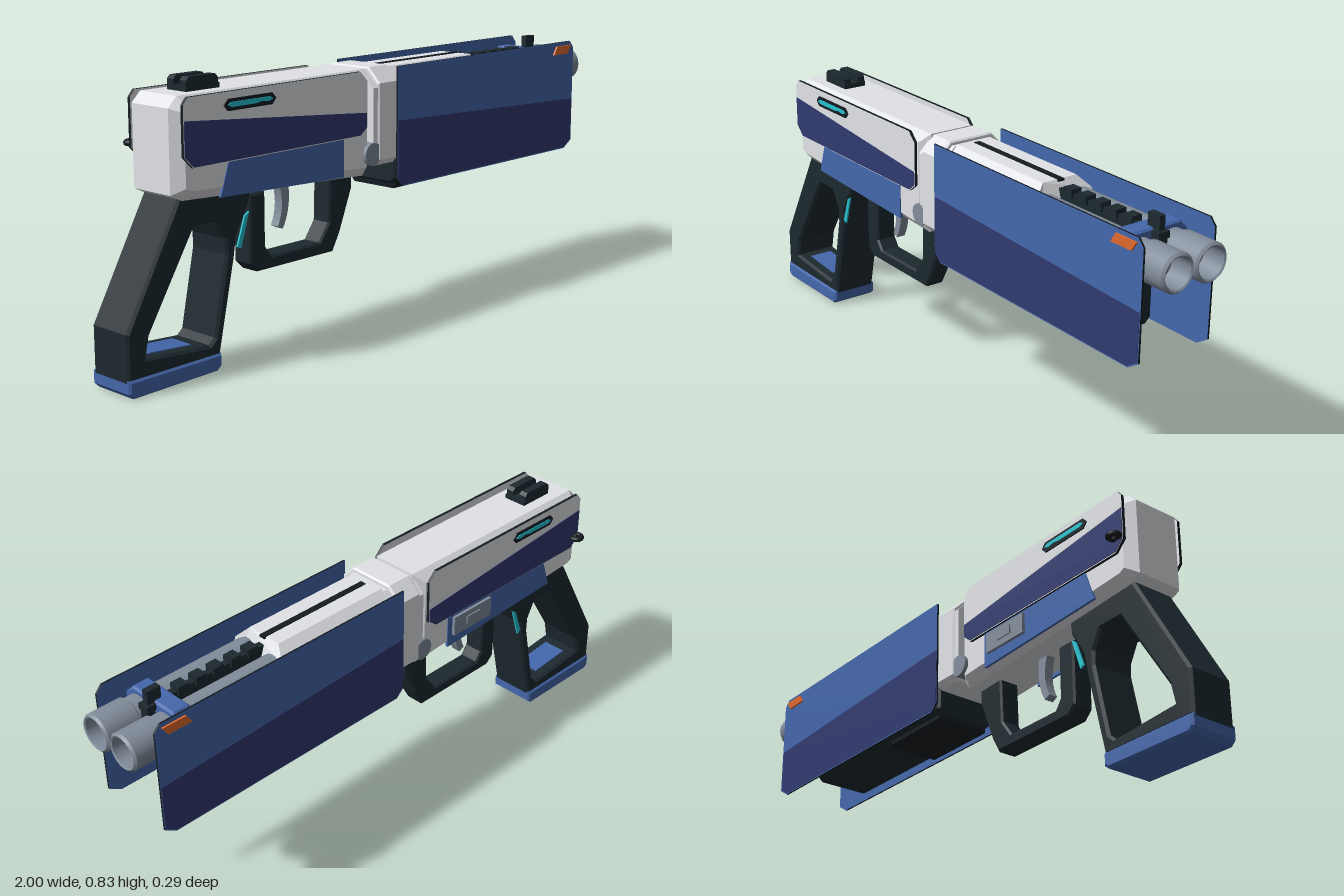
import * as THREE from 'three';

const mat = (name, color, opts = {}) => {
  const m = new THREE.MeshStandardMaterial({ color, ...opts });
  m.name = name;
  return m;
};

export function createModel() {
  const white = mat('off white', 0xe2e4e8);
  const blue = mat('blue', 0x4467ab);
  const navy = mat('navy', 0x313a70);
  const dark = mat('charcoal', 0x1d292f);
  const rim = mat('black rim', 0x141b22);
  const grey = mat('steel grey', 0x828d9b);
  const orange = mat('orange', 0xe0692e);
  const cyan = mat('cyan', 0x24c4d2);

  const model = new THREE.Group();
  const gun = new THREE.Group();
  gun.name = 'blaster';
  gun.position.z = 0.01;
  model.add(gun);

  const add = (name, geo, material, x = 0, y = 0, z = 0) => {
    const m = new THREE.Mesh(geo, material);
    m.name = name;
    m.position.set(x, y, z);
    gun.add(m);
    return m;
  };
  const box = (name, material, x0, x1, y0, y1, z0, z1) =>
    add(name, new THREE.BoxGeometry(x1 - x0, y1 - y0, z1 - z0), material,
      (x0 + x1) / 2, (y0 + y1) / 2, (z0 + z1) / 2);
  const outline = (pts) => new THREE.Shape(pts.map(([x, y]) => new THREE.Vector2(x, y)));
  // Solid of total thickness `depth`, centred on z = 0, chamfered inside its outline
  const solid = (pts, depth, bevel = 0, hole = null) => {
    const shape = outline(pts);
    if (hole) shape.holes.push(outline(hole));
    const geo = new THREE.ExtrudeGeometry(shape, {
      depth: depth - 2 * bevel, bevelEnabled: bevel > 0, bevelThickness: bevel,
      bevelSize: bevel, bevelOffset: -bevel, bevelSegments: 1,
    });
    return geo.translate(0, 0, bevel - depth / 2);
  };
  const slab = (name, material, pts, depth, z = 0, bevel = 0, hole = null) =>
    add(name, solid(pts, depth, bevel, hole), material, 0, 0, z);
  // Eight-sided cross-section running along x
  const beam = (name, material, x0, x1, y0, y1, half, top, bottom, bevel = 0) => {
    const pts = [[-half + bottom, y0], [half - bottom, y0], [half, y0 + bottom], [half, y1 - top],
      [half - top, y1], [-half + top, y1], [-half, y1 - top], [-half, y0 + bottom]];
    return add(name, solid(pts, x1 - x0, bevel).rotateY(Math.PI / 2), material, (x0 + x1) / 2);
  };

  // Receiver and collar
  slab('receiver', white, [[-0.84, 0.53], [-0.8, 0.51], [-0.085, 0.47], [-0.065, 0.5],
    [-0.07, 0.795], [-0.81, 0.795], [-0.84, 0.765]], 0.21, 0, 0.03);
  beam('collar', white, -0.06, 0.03, 0.5, 0.798, 0.12, 0.045, 0.02, 0.005);
  beam('collarStep', white, -0.078, 0.045, 0.51, 0.785, 0.115, 0.045, 0.02);
  add('hingePin', new THREE.CylinderGeometry(0.035, 0.035, 0.235, 20).rotateX(Math.PI / 2), grey, -0.08, 0.54, 0);

  // Upper shroud with a sloping nose
  const shroud = solid([[-0.06, 0.79], [-0.1, 0.75], [-0.1, 0.62], [0.1, 0.62], [0.1, 0.75], [0.06, 0.79]], 0.46)
    .rotateY(Math.PI / 2);
  const p = shroud.attributes.position;
  for (let i = 0; i < p.count; i++) if (p.getX(i) > 0 && p.getY(i) > 0.7) p.setX(i, 0.23 - (p.getY(i) - 0.7) * 0.6);
  shroud.computeVertexNormals();
  add('shroud', shroud, white, 0.275);
  box('shroudSlot', rim, 0.06, 0.46, 0.785, 0.792, -0.01, 0.01);

  // Fore-end and its lower rib
  beam('foreEnd', dark, 0.035, 0.74, 0.427, 0.655, 0.104, 0.012, 0.018, 0.008);
  beam('foreEndRib', rim, 0.05, 0.31, 0.41, 0.435, 0.09, 0.004, 0.008);

  // Twin barrels with hollow muzzles
  for (const s of [1, -1]) {
    add('barrel', new THREE.CylinderGeometry(0.05, 0.05, 0.5, 28).rotateZ(-Math.PI / 2), grey, 0.66, 0.709, s * 0.058);
    const profile = [[0, 0.04], [0.045, 0.04], [0.045, 0.04], [0.045, 0.112], [0.045, 0.112], [0.05, 0.115],
      [0.05, 0.115], [0.057, 0.108], [0.057, 0.108], [0.057, 0.005], [0.057, 0.005], [0.05, 0], [0.05, 0], [0, 0]]
      .reverse().map(([r, y]) => new THREE.Vector2(r, y));
    add('muzzle', new THREE.LatheGeometry(profile, 32).rotateZ(-Math.PI / 2), grey, 0.885, 0.709, s * 0.058);
  }
  beam('barrelClamp', blue, 0.79, 0.85, 0.638, 0.775, 0.12, 0.035, 0.02, 0.006);

  // Sight rail and sights
  box('rail', dark, 0.46, 0.88, 0.69, 0.768, -0.011, 0.011);
  for (let i = 0; i < 5; i++) box('railTooth', dark, 0.49 + i * 0.062, 0.525 + i * 0.062, 0.755, 0.782, -0.018, 0.018);
  box('frontSightBase', dark, 0.81, 0.88, 0.75, 0.77, -0.019, 0.019);
  box('frontSight', dark, 0.825, 0.87, 0.765, 0.813, -0.01, 0.01);
  box('rearSightBase', dark, -0.745, -0.625, 0.785, 0.81, -0.039, 0.039);
  for (const s of [1, -1]) slab('rearSightPost', dark,
    [[-0.745, 0.8], [-0.63, 0.8], [-0.63, 0.825], [-0.64, 0.835], [-0.735, 0.835], [-0.745, 0.825]], 0.026, s * 0.026);

  // Matching side panels
  const rearPanel = [[-0.822, 0.635], [-0.79, 0.602], [-0.135, 0.602], [-0.105, 0.625], [-0.105, 0.765], [-0.135, 0.795],
    [-0.805, 0.795], [-0.822, 0.775]];
  const frontPanel = [[0.018, 0.45], [0.045, 0.425], [0.9, 0.425], [0.94, 0.45], [0.94, 0.775], [0.92, 0.798], [0.018, 0.798]];
  for (const s of [1, -1]) {
    slab('rearPanel', [white, rim], rearPanel, 0.01, s * 0.109);
    slab('rearPanelLower', navy, [[-0.82, 0.636], [-0.789, 0.605], [-0.136, 0.605], [-0.108, 0.627], [-0.108, 0.67], [-0.82, 0.733]],
      0.003, s * 0.1145);
    slab('lightFrame', rim, [[-0.68, 0.759], [-0.665, 0.742], [-0.5, 0.742], [-0.485, 0.759], [-0.5, 0.775], [-0.665, 0.775]],
      0.005, s * 0.1155);
    slab('lightStrip', cyan, [[-0.668, 0.759], [-0.655, 0.752], [-0.56, 0.752], [-0.54, 0.756], [-0.515, 0.752], [-0.498, 0.759],
      [-0.51, 0.766], [-0.655, 0.766]], 0.004, s * 0.118);
    slab('lowerBodyPatch', blue, [[-0.69, 0.506], [-0.2, 0.487], [-0.2, 0.61], [-0.655, 0.61]], 0.008, s * 0.104);
    slab('frontPanel', [blue, rim], frontPanel, 0.006, s * 0.124);
    slab('frontPanelLower', navy, [[0.02, 0.452], [0.046, 0.429], [0.899, 0.429], [0.937, 0.453], [0.937, 0.596], [0.02, 0.632]],
      0.003, s * 0.1268);
    slab('marker', orange, [[0.82, 0.757], [0.9, 0.757], [0.918, 0.785], [0.838, 0.785]], 0.008, s * 0.129);
    slab('gripLight', cyan, [[-0.556, 0.44], [-0.572, 0.43], [-0.602, 0.345], [-0.588, 0.338]], 0.006, s * 0.073);
  }

  // Back-side latch and charging ring
  box('latch', grey, -0.39, -0.22, 0.525, 0.59, -0.118, -0.1);
  box('latchInset', grey, -0.335, -0.275, 0.545, 0.572, -0.122, -0.116);
  add('chargingStem', new THREE.CylinderGeometry(0.008, 0.008, 0.02, 12).rotateX(Math.PI / 2), rim, -0.8, 0.645, -0.118);
  add('chargingRing', new THREE.TorusGeometry(0.016, 0.009, 10, 20).rotateX(Math.PI / 2), rim, -0.8, 0.645, -0.128);

  // Skeleton grip with base plate
  slab('grip', dark, [[-0.81, 0.52], [-0.545, 0.51], [-0.55, 0.465], [-0.6, 0.375], [-0.61, 0.315], [-0.67, 0.045],
    [-1, 0.045], [-1, 0.18]], 0.15, 0, 0.008,
  [[-0.922, 0.16], [-0.935, 0.1], [-0.71, 0.082], [-0.69, 0.1], [-0.642, 0.33], [-0.643, 0.375], [-0.672, 0.43], [-0.755, 0.43]]);
  slab('gripFloor', blue, [[-0.9, 0.09], [-0.75, 0.08], [-0.75, 0.0885], [-0.9, 0.1005]], 0.08);
  slab('gripBase', blue, [[-1, 0.015], [-0.985, 0], [-0.685, 0.003], [-0.67, 0.015], [-0.67, 0.052], [-1, 0.052]], 0.16, 0, 0.006);

  // Trigger guard and trigger
  slab('triggerGuard', dark, [[-0.515, 0.475], [-0.515, 0.27], [-0.485, 0.242], [-0.17, 0.242], [-0.14, 0.295], [-0.085, 0.43],
    [-0.085, 0.48], [-0.185, 0.48], [-0.19, 0.335], [-0.23, 0.28], [-0.43, 0.28], [-0.452, 0.31], [-0.452, 0.475]], 0.07, 0, 0.006);
  const trigger = new THREE.Shape();
  trigger.moveTo(-0.385, 0.5);
  trigger.quadraticCurveTo(-0.35, 0.42, -0.385, 0.355);
  trigger.lineTo(-0.365, 0.345);
  trigger.quadraticCurveTo(-0.325, 0.41, -0.345, 0.5);
  add('trigger', new THREE.ExtrudeGeometry(trigger, { depth: 0.03, bevelEnabled: false, curveSegments: 8 }), grey, 0, 0, -0.015);

  return model;
}
